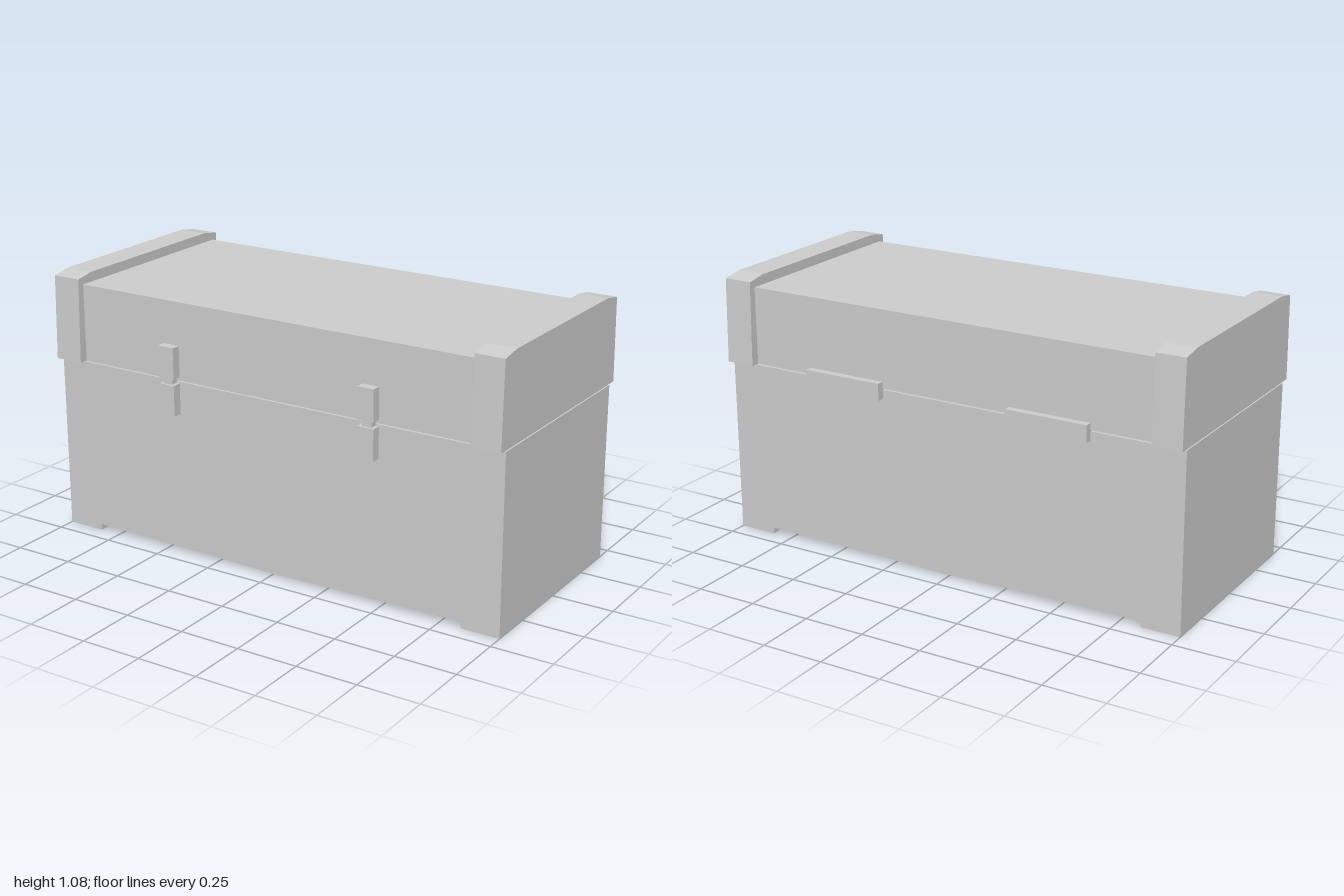
import * as THREE from 'three';

const material = new THREE.MeshStandardMaterial({ color: 0xcccccc, flatShading: true });

function add(parent, name, geometry, x = 0, y = 0, z = 0) {
  const mesh = new THREE.Mesh(geometry, material);
  mesh.name = name;
  mesh.position.set(x, y, z);
  parent.add(mesh);
  return mesh;
}

// Box given by its limits on each axis
function block(parent, name, [x0, x1], [y0, y1], [z0, z1]) {
  return add(parent, name, new THREE.BoxGeometry(x1 - x0, y1 - y0, z1 - z0),
    (x0 + x1) / 2, (y0 + y1) / 2, (z0 + z1) / 2);
}

// Outline extruded along z, centred on z = 0
function slab(points, depth) {
  const shape = new THREE.Shape(points.map(([x, y]) => new THREE.Vector2(x, y)));
  return new THREE.ExtrudeGeometry(shape, { depth, bevelEnabled: false }).translate(0, 0, -depth / 2);
}

export function createModel() {
  const chest = new THREE.Group();
  chest.name = 'chest';

  // Lower box with end feet and a gently sagging underside
  add(chest, 'body', slab([
    [-1, 0], [-0.84, 0], [-0.84, 0.026], [-0.23, 0.018], [0, 0.013], [0.23, 0.018],
    [0.84, 0.026], [0.84, 0], [1, 0], [1, 0.72], [-1, 0.72],
  ], 0.86));

  // Lid panel between the end caps
  block(chest, 'lid', [-0.9, 0.9], [0.725, 1.04], [-0.43, 0.43]);

  // Tapered end caps with chamfered top edges
  const capOutline = [
    [-0.466, 0.725], [0.466, 0.725], [0.457, 1.066], [0.375, 1.08], [-0.375, 1.08], [-0.457, 1.066],
  ];
  for (const side of [-1, 1]) {
    const label = side > 0 ? 'left' : 'right';
    add(chest, label + 'LidCap', slab(capOutline, 0.12).rotateY(Math.PI / 2), side * 0.94);

    // Front latch: upper plate, narrow tongue, lower plate
    const latch = new THREE.Group();
    latch.name = label + 'Latch';
    latch.position.x = side * 0.45;
    block(latch, 'latchUpperPlate', [-0.035, 0.035], [0.738, 0.865], [0.42, 0.468]);
    block(latch, 'latchTongue', [-0.02, 0.02], [0.705, 0.745], [0.42, 0.458]);
    block(latch, 'latchLowerPlate', [-0.035, 0.035], [0.588, 0.713], [0.42, 0.468]);
    chest.add(latch);

    // Back hinge bar across the seam
    const hinge = block(chest, label + 'Hinge', [-0.17, 0.17], [0.684, 0.752], [-0.46, -0.42]);
    hinge.position.x = side * 0.45;
  }
  return chest;
}
